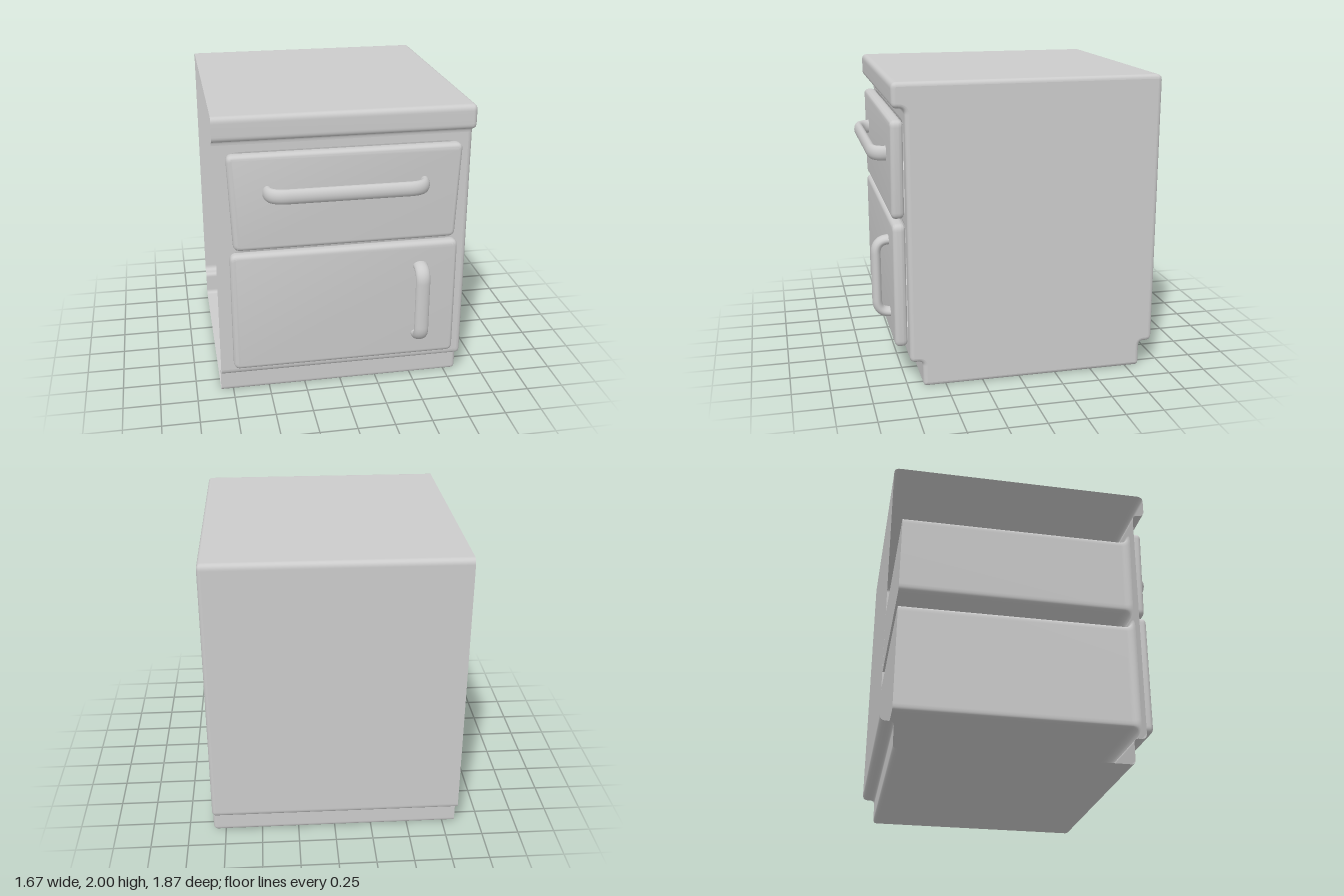
import * as THREE from 'three';
import { toCreasedNormals } from 'three/addons/utils/BufferGeometryUtils.js';

const material = new THREE.MeshStandardMaterial({ color: 0xcccccc });
const shellMaterial = new THREE.MeshStandardMaterial({ color: 0xcccccc, side: THREE.DoubleSide });
const FACE = 0.735; // z of the cabinet's front wall

function addMesh(parent, name, geometry, mat = material) {
  const mesh = new THREE.Mesh(geometry, mat);
  mesh.name = name;
  parent.add(mesh);
  return mesh;
}

// Closed outline with rounded corners; each corner is [x, y, radius]
function roundedOutline(corners, steps = 6) {
  const n = corners.length;
  return corners.flatMap(([x, y, r], i) => {
    const p = new THREE.Vector2(x, y);
    const towards = ([cx, cy]) => new THREE.Vector2(cx, cy).sub(p).setLength(r).add(p);
    const before = towards(corners[(i + n - 1) % n]);
    const after = towards(corners[(i + 1) % n]);
    return new THREE.QuadraticBezierCurve(before, p, after).getPoints(steps);
  });
}

// Outline of a front panel, tapering when the two half widths differ
const panelOutline = ({ bottom, top, bottomHalf, topHalf }, radius) => roundedOutline([
  [-bottomHalf, bottom, radius], [bottomHalf, bottom, radius],
  [topHalf, top, radius], [-topHalf, top, radius],
]);

// Move a counter-clockwise outline inward by a distance
function inset(points, distance) {
  const n = points.length;
  const edgeNormal = (a, b) => new THREE.Vector2(b.y - a.y, a.x - b.x).normalize();
  return points.map((p, i) => {
    const n1 = edgeNormal(points[(i + n - 1) % n], p);
    const n2 = edgeNormal(p, points[(i + 1) % n]);
    const miter = n1.clone().add(n2).divideScalar(1 + n1.dot(n2));
    return p.clone().addScaledVector(miter, -distance);
  });
}

// Skin between rings of equal point count; the first band may leave its closing strip open
function loft(rings, openFirstBand = false) {
  const n = rings[0].points.length;
  const positions = [], indices = [];
  rings.forEach(({ w, points }, k) => points.forEach((p, j) => {
    positions.push(p.x, p.y, w);
    if (k === 0 || (openFirstBand && k === 1 && j === n - 1)) return;
    const next = (j + 1) % n, a = (k - 1) * n, b = k * n;
    indices.push(a + j, a + next, b + next, a + j, b + next, b + j);
  }));
  const geometry = new THREE.BufferGeometry();
  geometry.setAttribute('position', new THREE.Float32BufferAttribute(positions, 3));
  geometry.setIndex(indices);
  geometry.computeVertexNormals();
  return geometry;
}

// Side profile swept across the width: open on the right, rounded edge on the left,
// with the front wall as a frame around the openings
function addBody(parent, openings) {
  const profile = roundedOutline([
    [-FACE, 0.172, 0.04], [-0.65, 0.172, 0.03], [-0.65, 0, 0.03], [0.845, 0, 0.03],
    [0.845, 0.172, 0.03], [0.932, 0.172, 0.04], [0.932, 2, 0.04], [-0.817, 2, 0.04],
    [-0.817, 1.838, 0.04], [-FACE, 1.838, 0.038],
  ]);
  const half = 0.834, r = 0.028, steps = 5;
  const rings = [{ w: -half, points: profile }];
  for (let k = 0; k <= steps; k++) {
    const a = (k / steps) * Math.PI / 2;
    rings.push({ w: half - r + r * Math.sin(a), points: inset(profile, r * (1 - Math.cos(a))) });
  }
  addMesh(parent, 'cabinetShell', loft(rings, true).rotateY(Math.PI / 2), shellMaterial);

  const side = new THREE.ShapeGeometry(new THREE.Shape(rings.at(-1).points));
  side.translate(0, 0, half);
  addMesh(parent, 'leftSidePanel', side.rotateY(Math.PI / 2), shellMaterial);

  const low = profile[0].y, high = profile.at(-1).y;
  const frame = new THREE.Shape([
    new THREE.Vector2(-half, low), new THREE.Vector2(half - r, low),
    new THREE.Vector2(half - r, high), new THREE.Vector2(-half, high),
  ]);
  frame.holes = openings.map((points) => new THREE.Path(points));
  addMesh(parent, 'frontFrame', new THREE.ShapeGeometry(frame).translate(0, 0, FACE), shellMaterial);
}

// Compartment behind a panel, its mouth flaring into the front frame
function addCompartment(parent, name, opening) {
  const r = 0.05, steps = 5, back = -0.85;
  const rings = [{ w: back, points: inset(opening, r) }];
  for (let k = steps; k >= 0; k--) {
    const a = (k / steps) * Math.PI / 2;
    rings.push({ w: FACE - r * (1 - Math.cos(a)), points: inset(opening, r * Math.sin(a)) });
  }
  addMesh(parent, name, loft(rings), shellMaterial);
  const end = new THREE.ShapeGeometry(new THREE.Shape(rings[0].points));
  addMesh(parent, name + 'Back', end.translate(0, 0, back), shellMaterial);
}

// Cushion-edged panel standing on the front wall
function addPanel(parent, name, size) {
  const bevel = 0.03, depth = 0.083;
  const shape = new THREE.Shape(inset(panelOutline(size, 0.045), bevel));
  const geometry = new THREE.ExtrudeGeometry(shape, {
    depth: depth - 2 * bevel, bevelEnabled: true,
    bevelSize: bevel, bevelThickness: bevel, bevelSegments: 6,
  });
  geometry.translate(0, 0, FACE + bevel);
  addMesh(parent, name, toCreasedNormals(geometry, 0.6));
}

// Bent bar with an oval section, lying along x
function handleGeometry(length, bend) {
  const r = 0.0325, e = length / 2 - r, root = 0.79, out = 0.902, c = 0.09;
  const v = (x, z) => new THREE.Vector3(x, 0, z);
  const path = new THREE.CurvePath();
  path.add(new THREE.LineCurve3(v(-e, root), v(-e, out - c)));
  path.add(new THREE.QuadraticBezierCurve3(v(-e, out - c), v(-e, out), v(-e + bend, out)));
  path.add(new THREE.LineCurve3(v(-e + bend, out), v(e - bend, out)));
  path.add(new THREE.QuadraticBezierCurve3(v(e - bend, out), v(e, out), v(e, out - c)));
  path.add(new THREE.LineCurve3(v(e, out - c), v(e, root)));
  return new THREE.TubeGeometry(path, 100, r, 16).scale(1, 1.5, 1);
}

export function createModel() {
  const cabinet = new THREE.Group();
  cabinet.name = 'bedsideCabinet';

  const drawer = { bottom: 1.112, top: 1.752, bottomHalf: 0.725, topHalf: 0.752 };
  const door = { bottom: 0.253, top: 1.085, bottomHalf: 0.75, topHalf: 0.75 };
  const drawerOpening = panelOutline(drawer, 0.09);
  const doorOpening = panelOutline(door, 0.09);

  addBody(cabinet, [drawerOpening, doorOpening]);
  addCompartment(cabinet, 'drawerCompartment', drawerOpening);
  addCompartment(cabinet, 'doorCompartment', doorOpening);
  addPanel(cabinet, 'drawerFront', drawer);
  addPanel(cabinet, 'door', door);

  addMesh(cabinet, 'drawerHandle', handleGeometry(1.07, 0.12)).position.y = 1.502;
  const doorHandle = addMesh(cabinet, 'doorHandle', handleGeometry(0.57, 0.09));
  doorHandle.rotation.z = Math.PI / 2;
  doorHandle.position.set(0.498, 0.67, 0);

  return cabinet;
}
